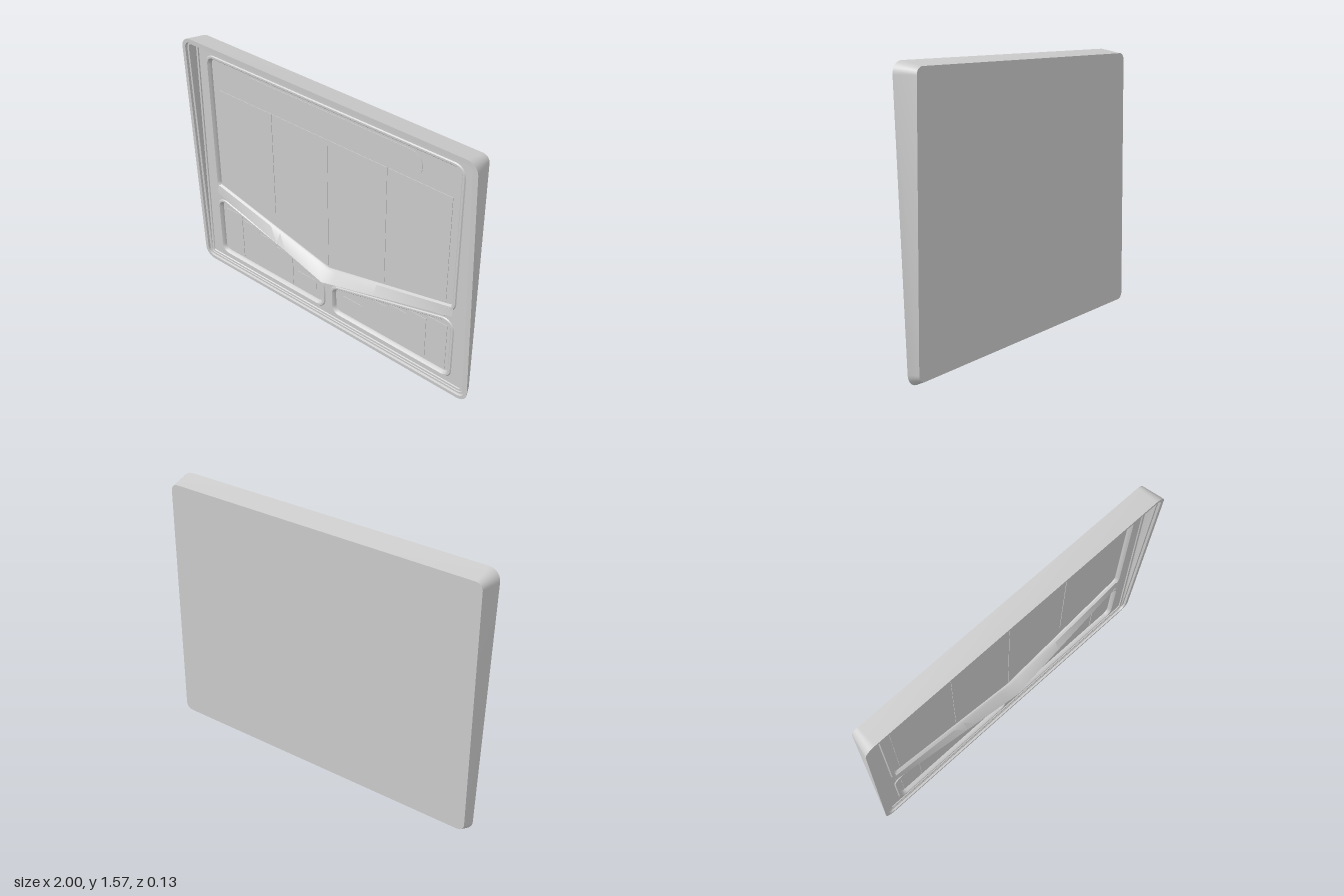
import * as THREE from 'three';
import { toCreasedNormals } from 'three/addons/utils/BufferGeometryUtils.js';

const grey = new THREE.MeshStandardMaterial({ color: 0xcccccc, side: THREE.DoubleSide });

// Sloping reference planes: outer rim, recessed fascia, sunk screens, flat back
const rim = (y) => -0.015 + 0.051 * y;
const fascia = (y) => -0.035 + 0.02 * y;
const screen = (y) => fascia(y) - 0.018;
const back = () => -0.065;
const raise = (plane, d) => (y) => plane(y) + d;

// Convex counter-clockwise outline, inset by d, with rounded corners
function outline(corners, d, radius, steps = 7) {
  const n = corners.length;
  const dirs = corners.map((p, i) => corners[(i + 1) % n].clone().sub(p).normalize());
  const pts = [];
  corners.forEach((p, i) => {
    const a = dirs[(i + n - 1) % n], b = dirs[i];
    const na = new THREE.Vector2(-a.y, a.x), nb = new THREE.Vector2(-b.y, b.x);
    const miter = na.clone().add(nb).divideScalar(1 + na.dot(nb));
    const r = Math.max(radius - d, 0.012);
    const c = p.clone().addScaledVector(miter, d + r);
    const start = Math.atan2(-na.y, -na.x);
    const turn = Math.atan2(a.cross(b), a.dot(b));
    for (let k = 0; k < steps; k++) {
      const t = start + (turn * k) / (steps - 1);
      pts.push(new THREE.Vector2(c.x + r * Math.cos(t), c.y + r * Math.sin(t)));
    }
  });
  return pts;
}

// Skins a profile of [inset, plane] around an outline; caps close either end
function loft(corners, radius, profile, capStart, capEnd) {
  const loops = profile.map(([d, plane]) =>
    outline(corners, d, radius).map((p) => new THREE.Vector3(p.x, p.y, plane(p.y))));
  const pos = [];
  const tri = (...v) => v.forEach((p) => pos.push(p.x, p.y, p.z));
  const n = loops[0].length;
  for (let i = 0; i + 1 < loops.length; i++) {
    for (let j = 0; j < n; j++) {
      const k = (j + 1) % n, A = loops[i], B = loops[i + 1];
      tri(A[j], A[k], B[k]);
      tri(A[j], B[k], B[j]);
    }
  }
  const fan = (loop, flip) => {
    const c = loop.reduce((s, p) => s.add(p), new THREE.Vector3()).divideScalar(n);
    loop.forEach((p, j) => {
      const q = loop[(j + 1) % n];
      flip ? tri(c, q, p) : tri(c, p, q);
    });
  };
  if (capStart) fan(loops[0], true);
  if (capEnd) fan(loops[loops.length - 1], false);
  const geo = new THREE.BufferGeometry();
  geo.setAttribute('position', new THREE.Float32BufferAttribute(pos, 3));
  return toCreasedNormals(geo, 0.6);
}

// Thin plate cut from a shape and laid on a sloping plane
function plate(shape, plane, depth) {
  const geo = new THREE.ExtrudeGeometry(shape, { depth, bevelEnabled: false, curveSegments: 10 });
  const p = geo.attributes.position;
  for (let i = 0; i < p.count; i++) p.setZ(i, p.getZ(i) + plane(p.getY(i)));
  geo.computeVertexNormals();
  return geo;
}

const vecs = (list) => list.map(([x, y]) => new THREE.Vector2(x, y));
const mirror = (list) => list.map(([x, y]) => [-x, y]).reverse();
const rect = (x0, y0, x1, y1) => [[x0, y0], [x1, y0], [x1, y1], [x0, y1]];

// V-shaped ledge that stands out furthest at its centre
function ledgeGeometry() {
  const pos = [], index = [];
  const cols = 24, rows = 4;
  for (let i = 0; i <= cols; i++) {
    const x = -0.86 + (1.72 * i) / cols, ax = Math.abs(x);
    const y = 0.33 + 0.24 * ax, z = 0.028 - 0.05 * ax;
    const top = fascia(y) + 0.006;
    [[0.068, top - 0.012], [0.06, top], [0.002, z], [-0.004, fascia(y) - 0.002]]
      .forEach(([dy, pz]) => pos.push(x, y + dy, pz));
  }
  for (let i = 0; i < cols; i++) {
    for (let j = 0; j + 1 < rows; j++) {
      const a = i * rows + j, b = a + rows;
      index.push(a, a + 1, b + 1, a, b + 1, b);
    }
  }
  const geo = new THREE.BufferGeometry();
  geo.setAttribute('position', new THREE.Float32BufferAttribute(pos, 3));
  geo.setIndex(index);
  return toCreasedNormals(geo, 0.5);
}

export function createModel() {
  const group = new THREE.Group();
  const add = (name, geo) => {
    const mesh = new THREE.Mesh(geo, grey);
    mesh.name = name;
    group.add(mesh);
  };

  // Outer shell: flat back, flared sides, sloping rim and stepped inner wall
  const body = vecs([[-1, 0], [1, 0], [0.98, 1.568], [-0.98, 1.568]]);
  add('shell', loft(body, 0.065, [
    [0.024, back], [0, rim], [0.022, rim],
    [0.026, raise(rim, -0.012)], [0.038, raise(rim, -0.012)],
    [0.042, raise(fascia, 0.006)], [0.055, raise(fascia, 0.006)], [0.058, fascia],
  ], true, false));

  // Fascia with three openings, each with a rounded bezel and sunk screen
  const upper = [[-0.875, 1.475], [-0.875, 0.57], [0, 0.365], [0.875, 0.57], [0.875, 1.475]];
  const lower = [[0.02, 0.08], [0.875, 0.08], [0.875, 0.52], [0.02, 0.288]];
  const openings = { upperScreen: upper, leftScreen: lower, rightScreen: mirror(lower) };
  const face = new THREE.Shape(outline(body, 0.057, 0.065));
  for (const [name, list] of Object.entries(openings)) {
    const corners = vecs(list);
    face.holes.push(new THREE.Path(outline(corners, 0, 0.065)));
    add(name, loft(corners, 0.065, [
      [0, fascia], [0.005, raise(fascia, 0.006)], [0.016, raise(fascia, 0.006)],
      [0.024, raise(fascia, -0.002)], [0.028, screen],
    ], false, true));
  }
  add('fascia', plate(face, raise(fascia, -0.002), 0.002));
  add('ledge', ledgeGeometry());

  // Display strips, buttons and slots, mirrored left and right
  const panels = [
    ['outerStrip', rect(0.405, 0.59, 0.8, 1.255), screen],
    ['innerStrip', [[0.005, 0.41], [0.395, 0.505], [0.395, 1.255], [0.005, 1.255]], screen],
    ['lowerOuterStrip', rect(0.69, 0.12, 0.82, 0.43), screen],
    ['lowerInnerStrip', [[0.285, 0.12], [0.683, 0.12], [0.683, 0.4], [0.55, 0.4], [0.55, 0.365],
      [0.41, 0.365], [0.41, 0.335], [0.285, 0.335]], screen],
    ['smallButton', rect(0.105, 0.175, 0.245, 0.24), screen],
    ['slot', [[0.07, 0.32], [0.81, 0.508], [0.81, 0.516], [0.07, 0.328]], fascia],
  ];
  for (const [name, list, plane] of panels) {
    add(name + 'Left', plate(new THREE.Shape(vecs(list)), plane, 0.003));
    add(name + 'Right', plate(new THREE.Shape(vecs(mirror(list))), plane, 0.003));
  }

  // Pill-shaped header across the top of the main screen
  const pill = new THREE.Shape();
  pill.absarc(0.535, 1.348, 0.077, -Math.PI / 2, Math.PI / 2);
  pill.absarc(-0.535, 1.348, 0.077, Math.PI / 2, Math.PI * 1.5);
  add('header', plate(pill, screen, 0.003));

  return group;
}
